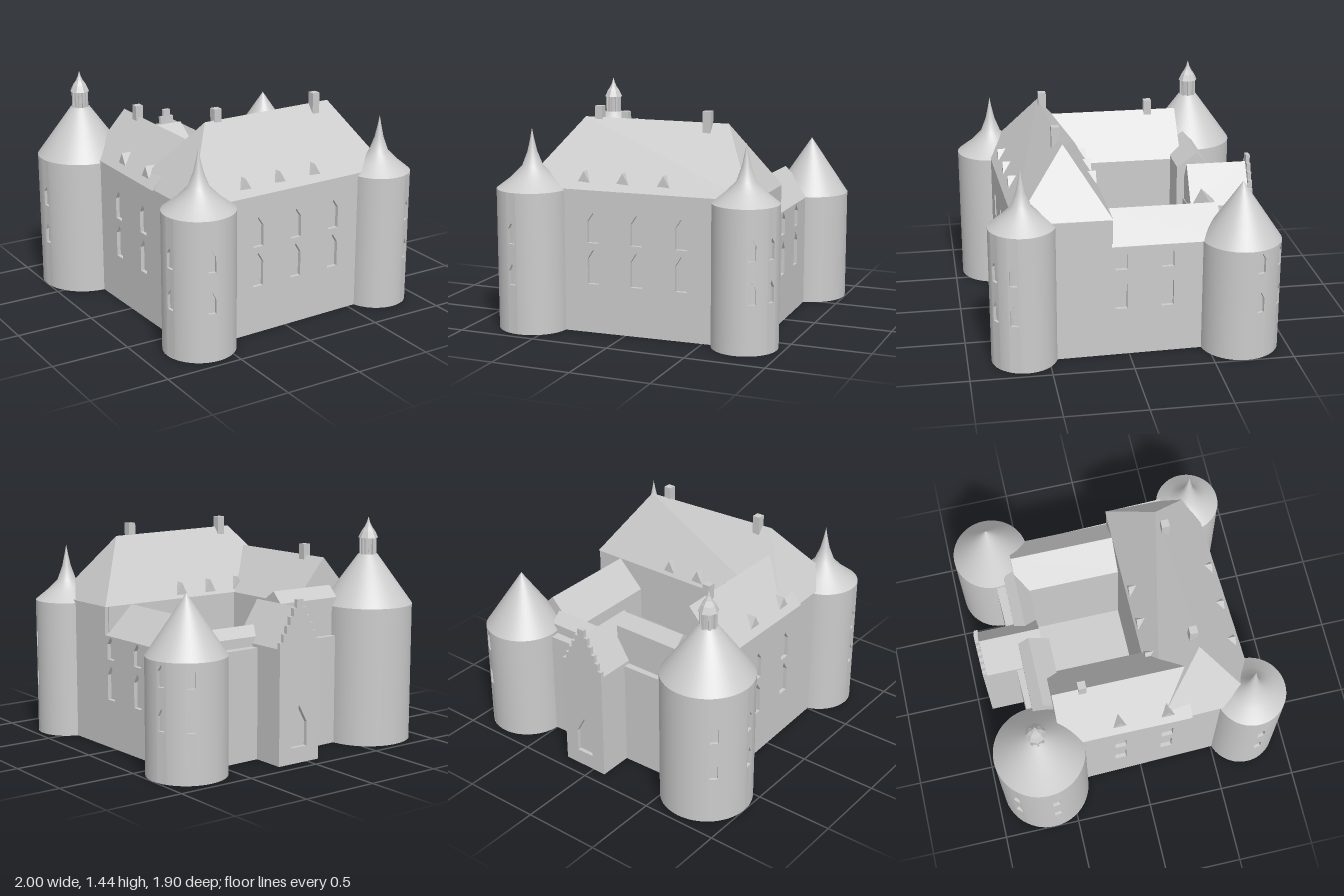
import * as THREE from 'three';
import { ConvexGeometry } from 'three/addons/geometries/ConvexGeometry.js';

const grey = new THREE.MeshStandardMaterial({ color: 0xcccccc, side: THREE.DoubleSide });
const DEPTH = 0.025; // window recess

export function createModel() {
  const model = new THREE.Group();

  const add = (name, geometry, parent = model) => {
    const mesh = new THREE.Mesh(geometry, grey);
    mesh.name = name;
    parent.add(mesh);
    return mesh;
  };

  // Convex solids: from points, from a footprint, or from a profile swept along z or x
  const solid = (name, pts) => add(name, new ConvexGeometry(pts.map((p) => new THREE.Vector3(...p))));
  const block = (name, foot, y0, y1) =>
    solid(name, foot.flatMap(([x, z]) => [[x, y0, z], [x, y1, z]]));
  const sweepZ = (name, prof, z0, z1) =>
    solid(name, prof.flatMap(([x, y]) => [[x, y, z0], [x, y, z1]]));
  const sweepX = (name, prof, x0, x1) =>
    solid(name, prof.flatMap(([z, y]) => [[x0, y, z], [x1, y, z]]));

  // Pointed opening: centre u, width, sill, shoulder and tip heights
  const lancet = (u, w, [y0, ys, y1]) => new THREE.Path([
    [u - w / 2, y0], [u + w / 2, y0], [u + w / 2, ys], [u, y1], [u - w / 2, ys],
  ].map((p) => new THREE.Vector2(...p)));

  // Wall sheet with openings; its outer face lies on local z = 0
  const wallGeometry = (outline, holes, depth = DEPTH) => {
    const shape = new THREE.Shape(outline.map((p) => new THREE.Vector2(...p)));
    shape.holes = holes;
    return new THREE.ExtrudeGeometry(shape, { depth, bevelEnabled: false }).translate(0, 0, -depth);
  };
  const wall = (name, [x0, z0], [x1, z1], outline, holes) => {
    const mesh = add(name, wallGeometry(outline, holes));
    mesh.position.set(x0, 0, z0);
    mesh.rotation.y = Math.atan2(z0 - z1, x1 - x0);
  };

  // Round tower: curved wall arcs, narrow window strips and a turned roof
  const tower = (name, x, z, r, h, angles, roof) => {
    const group = new THREE.Group();
    group.name = name;
    group.position.set(x, 0, z);
    model.add(group);
    const half = Math.asin(0.034 / r);
    const rad = angles.map((a) => THREE.MathUtils.degToRad(a));
    rad.forEach((a, i) => {
      const next = i + 1 < rad.length ? rad[i + 1] : rad[0] + Math.PI * 2;
      const sweep = next - a - 2 * half;
      add('towerWall', new THREE.CylinderGeometry(r, r, h, Math.ceil(sweep * 8), 1, true, a + half, sweep)
        .translate(0, h / 2, 0), group);
      const tips = [[0.31, 0.4, 0.445], [0.57, 0.665, 0.7]];
      const strip = add('towerWindows', wallGeometry(
        [[-0.034, 0], [0.034, 0], [0.034, h], [-0.034, h]],
        tips.map((t) => lancet(0, 0.048, t)), 0.02), group);
      const d = r * Math.cos(half);
      strip.position.set(Math.sin(a) * d, 0, Math.cos(a) * d);
      strip.rotation.y = a;
    });
    add('towerCore', new THREE.CylinderGeometry(r - 0.02, r - 0.02, h, 48).translate(0, h / 2, 0), group);
    add('towerBase', new THREE.CircleGeometry(r, 48).rotateX(Math.PI / 2), group);
    add('towerRoof', new THREE.LatheGeometry(roof.map((p) => new THREE.Vector2(...p)), 48), group);
    return group;
  };

  // Ground slab and courtyard floor
  block('courtyardFloor', [[-0.69, 0.73], [0.78, 0.67], [0.77, -0.7], [-0.7, -0.67]], 0, 0.012);

  // Main range: body and hipped roof
  block('mainBody', [[-0.67, 0.727], [0.77, 0.665], [0.774, 0.1], [-0.677, 0.11]], 0, 0.9);
  const eaves = [[-0.69, 0.752], [0.79, 0.69], [0.8, 0.1], [-0.705, 0.11]];
  solid('mainRoof', [...eaves.map(([x, z]) => [x, 0.9, z]), [-0.4, 1.31, 0.42], [0.54, 1.305, 0.37]]);

  // West wing
  block('westBody', [[-0.693, -0.52], [-0.22, -0.52], [-0.22, 0.2], [-0.675, 0.2]], 0, 0.9);
  sweepZ('westRoof', [[-0.715, 0.9], [-0.22, 0.9], [-0.46, 1.18]], -0.52, 0.32);

  // East wing, lower than the rest
  block('eastBody', [[0.43, -0.58], [0.755, -0.58], [0.77, 0.15], [0.43, 0.15]], 0, 0.72);
  sweepZ('eastRoof', [[0.43, 0.72], [0.79, 0.72], [0.605, 0.9]], -0.58, 0.15);

  // North range on both sides of the gatehouse, with the ledge outside
  block('northLedge', [[-0.6, -0.47], [0.7, -0.52], [0.7, -0.715], [-0.6, -0.68]], 0, 0.7);
  sweepX('northWestRange', [[-0.45, 0], [-0.45, 0.92], [-0.58, 1.01], [-0.65, 0.94], [-0.65, 0]], -0.46, 0);
  sweepX('northEastRange', [[-0.5, 0], [-0.5, 0.72], [-0.58, 0.82], [-0.65, 0.76], [-0.65, 0]], 0.1, 0.55);

  // Gatehouse with a stepped gable and a pointed doorway
  sweepZ('gatehouse', [[-0.09, 0], [0.22, 0], [0.22, 0.72], [0.065, 0.96], [-0.09, 0.72]], -0.89, -0.5);
  const right = [[0.155, 0]];
  for (let i = 0; i <= 5; i++) {
    const w = 0.155 - i * 0.026, y = 0.76 + i * 0.05;
    right.push([w, y]);
    if (i < 5) right.push([w - 0.026, y]);
  }
  const left = right.map(([x, y]) => [-x, y]).reverse();
  wall('steppedGable', [0.065, -0.915], [-0.2, -0.915], [...right, ...left],
    [lancet(0, 0.12, [0.1, 0.25, 0.36])]);

  // Outer walls with two rows of recessed pointed windows
  const rows = [[0.31, 0.47, 0.53], [0.57, 0.705, 0.76]];
  const lowRows = [[0.31, 0.47, 0.53], [0.57, 0.665, 0.715]];
  const openings = (us, tips) => us.flatMap((u) => tips.map((t) => lancet(u, 0.075, t)));
  wall('frontWall', [-0.69, 0.752], [0.79, 0.69], [[0, 0], [1.48, 0], [1.48, 0.9], [0, 0.9]],
    openings([0.48, 0.765, 1.055], rows));
  wall('westWall', [-0.72, -0.5], [-0.69, 0.6], [[0, 0], [1.1, 0], [1.1, 0.9], [0, 0.9]],
    openings([0.36, 0.67], rows));
  wall('eastWall', [0.81, 0.6], [0.78, -0.6],
    [[0, 0], [1.2, 0], [1.2, 0.72], [0.49, 0.72], [0.49, 0.9], [0, 0.9]],
    openings([0.55, 0.84], lowRows));

  // Dormers: small gabled prisms set into the roof slopes
  const dormer = (x, y, z, turn, w = 0.045) => {
    const shape = new THREE.Shape([[-w, 0], [w, 0], [w, 0.025], [0, 0.1], [-w, 0.025]]
      .map((p) => new THREE.Vector2(...p)));
    const mesh = add('dormer', new THREE.ExtrudeGeometry(shape, { depth: 0.1, bevelEnabled: false })
      .translate(0, 0, -0.1));
    mesh.position.set(x, y, z);
    mesh.rotation.y = turn;
  };
  [-0.285, -0.03, 0.235].forEach((x) => dormer(x, 0.91, 0.69 - x * 0.04, 0));
  [-0.26, -0.03, 0.2].forEach((x) => dormer(x, 0.9, 0.118, Math.PI, 0.04));
  [-0.14, 0.17].forEach((z) => dormer(-0.68, 0.91, z, -Math.PI / 2));

  // Chimneys
  [[-0.31, 0.4, 1.38], [0.415, 0.4, 1.38], [-0.46, -0.33, 1.25]].forEach(([x, z, top]) =>
    add('chimney', new THREE.BoxGeometry(0.05, 0.24, 0.05).translate(x, top - 0.12, z)));

  // Corner towers
  tower('frontRightTower', -0.625, 0.722, 0.226, 0.89, [-80, -10],
    [[0.226, 0.89], [0.14, 0.955], [0.065, 1.03], [0.03, 1.12], [0.012, 1.2], [0, 1.265]]);
  tower('frontLeftTower', 0.753, 0.648, 0.205, 0.88, [30, 69],
    [[0.205, 0.88], [0.125, 0.945], [0.06, 1.01], [0.028, 1.1], [0.011, 1.18], [0, 1.24]]);
  tower('backLeftTower', 0.75, -0.702, 0.247, 0.72, [108, 151], [[0.247, 0.72], [0, 1.087]]);
  const great = tower('backRightTower', -0.71, -0.664, 0.29, 0.885, [225, 278],
    [[0.29, 0.885], [0.062, 1.2], [0, 1.2]]);

  // Octagonal lantern with ribs and a curved cap
  add('lantern', new THREE.CylinderGeometry(0.045, 0.045, 0.12, 8).toNonIndexed().translate(0, 1.25, 0), great);
  for (let i = 0; i < 8; i++) {
    const a = (i / 8) * Math.PI * 2;
    add('lanternRib', new THREE.BoxGeometry(0.014, 0.12, 0.014).rotateY(a)
      .translate(Math.sin(a) * 0.047, 1.25, Math.cos(a) * 0.047), great);
  }
  const cap = [[0, 1.305], [0.064, 1.305], [0.045, 1.345], [0.024, 1.375], [0.012, 1.4], [0, 1.44]];
  const capGeometry = new THREE.LatheGeometry(cap.map((p) => new THREE.Vector2(...p)), 8).toNonIndexed();
  capGeometry.computeVertexNormals();
  add('lanternCap', capGeometry, great);

  return model;
}
